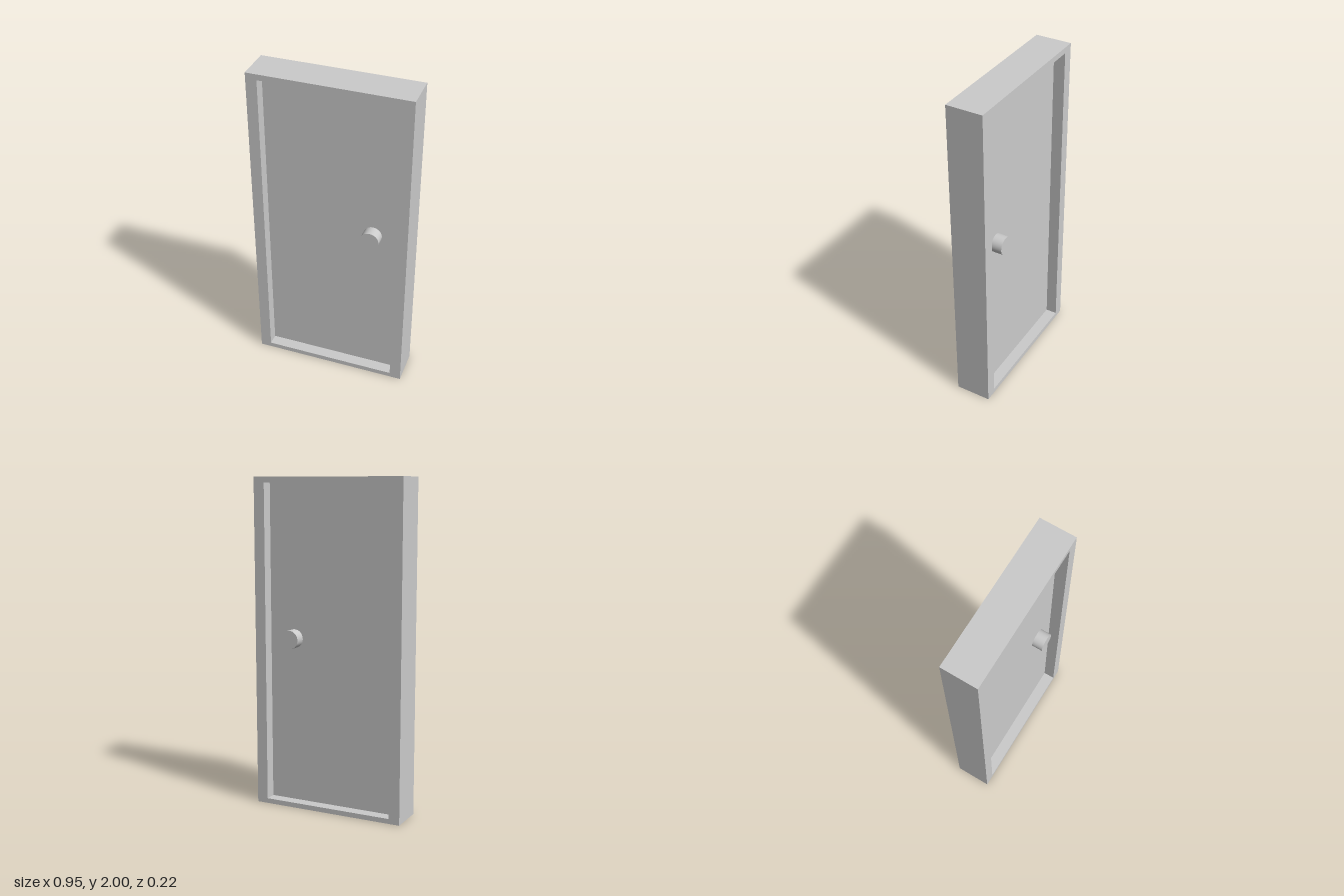
import * as THREE from 'three';

const W = 0.477, H = 2, D = 0.11;                              // half width, height, half depth
const LEFT = -0.41, RIGHT = 0.408, BOTTOM = 0.03, TOP = 1.965; // frame opening
const PANEL = 0.04;                                            // half thickness of the door leaf
const KNOB_END = 0.107;

function rectangle(path, x0, y0, x1, y1) {
  path.moveTo(x0, y0);
  path.lineTo(x1, y0);
  path.lineTo(x1, y1);
  path.lineTo(x0, y1);
  path.closePath();
  return path;
}

export function createModel() {
  const door = new THREE.Group();
  door.name = 'door';
  const material = new THREE.MeshStandardMaterial({ color: 0xcccccc });

  const add = (name, geometry, x = 0, y = 0, z = 0) => {
    const mesh = new THREE.Mesh(geometry, material);
    mesh.name = name;
    mesh.position.set(x, y, z);
    door.add(mesh);
    return mesh;
  };

  // Frame with a rectangular opening
  const outline = rectangle(new THREE.Shape(), -W, 0, W, H);
  outline.holes.push(rectangle(new THREE.Path(), LEFT, BOTTOM, RIGHT, TOP));
  add('frame', new THREE.ExtrudeGeometry(outline, { depth: 2 * D, bevelEnabled: false }), 0, 0, -D);

  // Door leaf, recessed on both sides
  add('panel', new THREE.BoxGeometry(RIGHT - LEFT, TOP - BOTTOM, 2 * PANEL),
    (LEFT + RIGHT) / 2, (BOTTOM + TOP) / 2);

  // A round knob on each side
  const length = KNOB_END - PANEL;
  const knob = new THREE.CylinderGeometry(0.056, 0.056, length, 32).rotateX(Math.PI / 2);
  for (const [name, side] of [['frontKnob', 1], ['backKnob', -1]]) {
    add(name, knob, 0.247, 1.04, side * (PANEL + length / 2));
  }

  return door;
}
